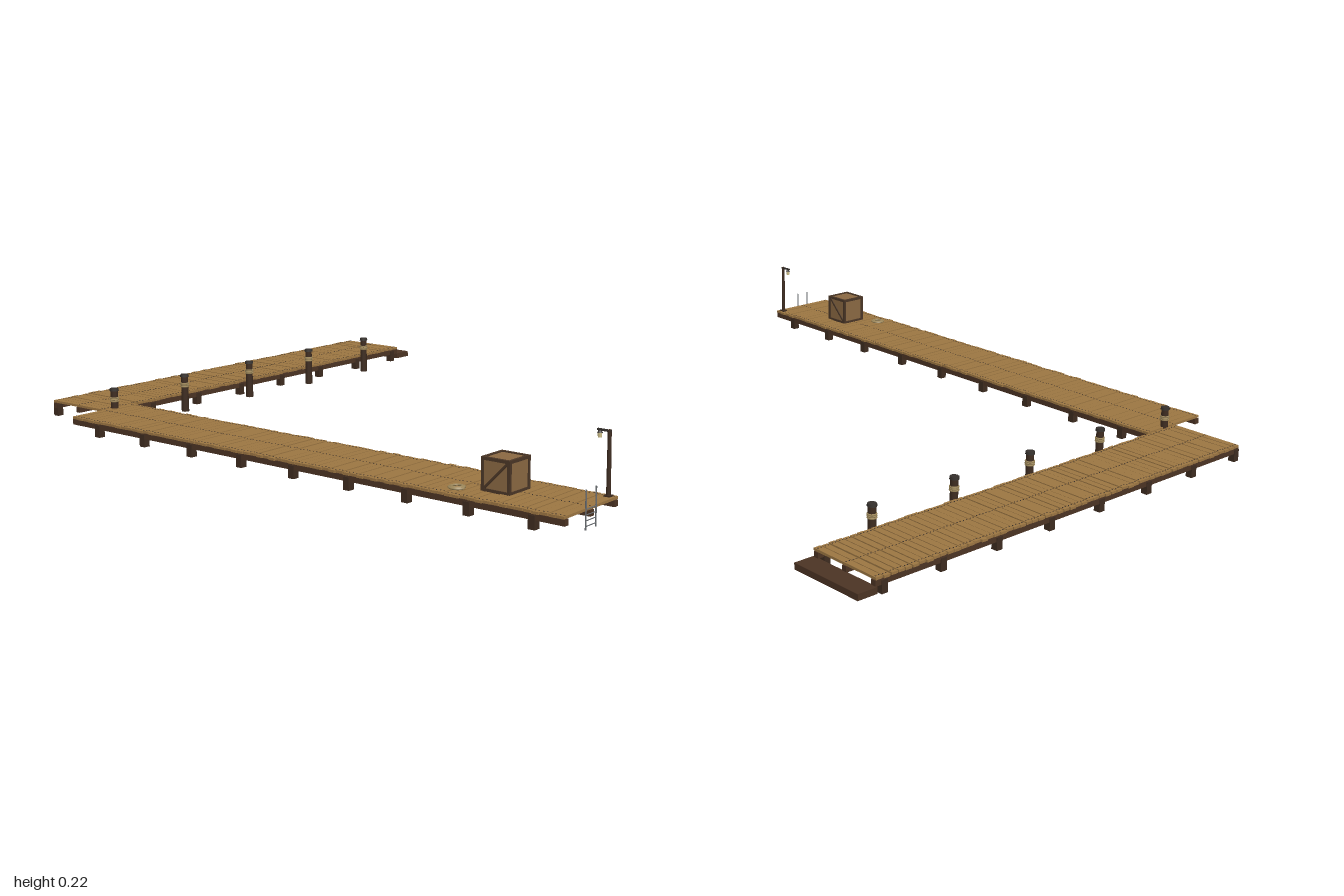
import * as THREE from 'three';
import { mergeGeometries } from 'three/addons/utils/BufferGeometryUtils.js';

const mat = (color) => new THREE.MeshStandardMaterial({ color });
const M = {
  plank: mat(0x9c7642), beam: mat(0x4c3424), post: mat(0x3e2c20), nail: mat(0x3a3028),
  crate: mat(0x8a6842), frame: mat(0x4a3626), rope: mat(0xa08a5c), metal: mat(0x6c7074),
  iron: mat(0x35302c), glow: mat(0xd8c890),
};

// Small seeded generator for plank irregularity
let seed = 7;
const rand = () => (seed = (seed * 16807) % 2147483647) / 2147483647;

const box = (w, h, d, x, y, z) => new THREE.BoxGeometry(w, h, d).translate(x, y, z);
const cyl = (r0, r1, h, x, y, z, n = 10) => new THREE.CylinderGeometry(r0, r1, h, n).translate(x, y, z);

function add(parent, name, material, geometries) {
  const mesh = new THREE.Mesh(mergeGeometries(geometries), material);
  mesh.name = name;
  parent.add(mesh);
  return mesh;
}

// A walkway running along local x, centred on the origin in x and z
function walkway(name, length, width, plankCount, postXs) {
  const g = new THREE.Group();
  g.name = name;
  const rows = [-width / 2 + 0.012, 0, width / 2 - 0.012];
  const planks = [], nails = [];
  const pitch = length / plankCount;
  for (let i = 0; i < plankCount; i++) {
    const x = -length / 2 + (i + 0.5) * pitch;
    const w = pitch * (0.8 + rand() * 0.14);
    const y = 0.0535 + rand() * 0.002;
    planks.push(box(w, 0.007, width - rand() * 0.006, x, y, (rand() - 0.5) * 0.003));
    for (const z of rows)
      for (const s of [-1, 1]) nails.push(box(0.003, 0.001, 0.003, x + s * w * 0.25, y + 0.0038, z));
  }
  add(g, 'planks', M.plank, planks);
  add(g, 'nails', M.nail, nails);
  add(g, 'stringers', M.beam, rows.map((z) => box(length, 0.016, 0.016, 0, 0.042, z)));
  const posts = [];
  for (const x of postXs)
    for (const z of [rows[0], rows[2]]) posts.push(box(0.02, 0.036, 0.02, x, 0.028, z));
  add(g, 'supportPosts', M.post, posts);
  return g;
}

// Mooring post with cap and rope wraps
function bollard(z) {
  const g = new THREE.Group();
  g.name = 'mooringPost';
  add(g, 'shaft', M.post, [cyl(0.011, 0.012, 0.114, 0, 0.057, 0)]);
  add(g, 'cap', M.iron, [cyl(0.013, 0.014, 0.008, 0, 0.116, 0)]);
  add(g, 'ropeWraps', M.rope, [0.081, 0.086, 0.091].map((y) =>
    new THREE.TorusGeometry(0.0115, 0.0028, 6, 14).rotateX(Math.PI / 2).translate(0, y, 0)));
  g.position.set(-0.755, 0, z);
  return g;
}

function crate() {
  const g = new THREE.Group();
  g.name = 'crate';
  const s = 0.088, h = s / 2, t = 0.008, e = h - t / 2;
  add(g, 'panels', M.crate, [box(s - 0.006, s - 0.006, s - 0.006, 0, h, 0)]);
  const bars = [];
  for (const a of [-e, e])
    for (const b of [-e, e]) {
      bars.push(box(s, t, t, 0, h + a, b), box(t, s, t, a, h, b), box(t, t, s, a, h + b, 0));
    }
  // Diagonal braces on front and back
  for (const z of [-h + 0.002, h - 0.002])
    bars.push(box(s * 1.25, t * 0.8, 0.003, 0, 0, 0).rotateZ(Math.PI / 4).translate(0, h, z));
  add(g, 'frame', M.frame, bars);
  g.position.set(0.745, 0.057, 0.672);
  return g;
}

function lamp() {
  const g = new THREE.Group();
  g.name = 'lampPost';
  add(g, 'pole', M.post, [cyl(0.005, 0.006, 0.17, 0, 0.14, 0, 8), box(0.018, 0.006, 0.018, 0, 0.059, 0)]);
  add(g, 'arm', M.iron, [box(0.04, 0.005, 0.006, -0.015, 0.222, 0)]);
  add(g, 'lanternCap', M.iron, [cyl(0.003, 0.008, 0.006, -0.028, 0.217, 0, 8)]);
  add(g, 'lantern', M.glow, [cyl(0.006, 0.005, 0.012, -0.028, 0.208, 0, 8)]);
  g.position.set(0.98, 0, 0.57);
  return g;
}

function ladder() {
  const g = new THREE.Group();
  g.name = 'ladder';
  add(g, 'rails', M.metal, [-0.022, 0.022].map((z) => cyl(0.002, 0.002, 0.1, 0, 0.055, z, 6)));
  add(g, 'rungs', M.metal, [0.014, 0.028, 0.042, 0.056].map((y) =>
    new THREE.CylinderGeometry(0.0015, 0.0015, 0.044, 6).rotateX(Math.PI / 2).translate(0, y, 0)));
  g.position.set(0.998, 0, 0.675);
  return g;
}

// Flat coil of rope lying on the deck
function ropeCoil() {
  const pts = [];
  for (let i = 0; i <= 60; i++) {
    const a = (i / 60) * Math.PI * 6, r = 0.022 - 0.01 * (i / 60);
    pts.push(new THREE.Vector3(Math.cos(a) * r, 0.061 + 0.003 * (i / 60), Math.sin(a) * r));
  }
  const mesh = add(new THREE.Group(), 'ropeCoil', M.rope,
    [new THREE.TubeGeometry(new THREE.CatmullRomCurve3(pts), 90, 0.003, 6)]);
  mesh.position.set(0.642, 0, 0.735);
  return mesh;
}

export function createModel() {
  seed = 7;
  const root = new THREE.Group();
  root.name = 'pier';

  // Long walkway along the front
  const front = walkway('frontWalkway', 1.76, 0.24, 74,
    Array.from({ length: 9 }, (_, i) => -0.77 + i * 0.1945));
  front.position.set(0.118, 0, 0.67);

  // Walkway running back along the right side
  const side = walkway('sideWalkway', 1.4, 0.236, 60,
    Array.from({ length: 8 }, (_, i) => -0.69 + i * 0.1945));
  side.rotation.y = Math.PI / 2;
  side.position.set(-0.882, 0, -0.032);
  root.add(front, side);

  // Low landing step at the far end
  add(root, 'landingStep', M.beam, [box(0.236, 0.018, 0.062, -0.882, 0.026, -0.76)]);

  for (let i = 0; i < 5; i++) root.add(bollard(0.63 - i * 0.29));
  root.add(crate(), lamp(), ladder(), ropeCoil());
  return root;
}
